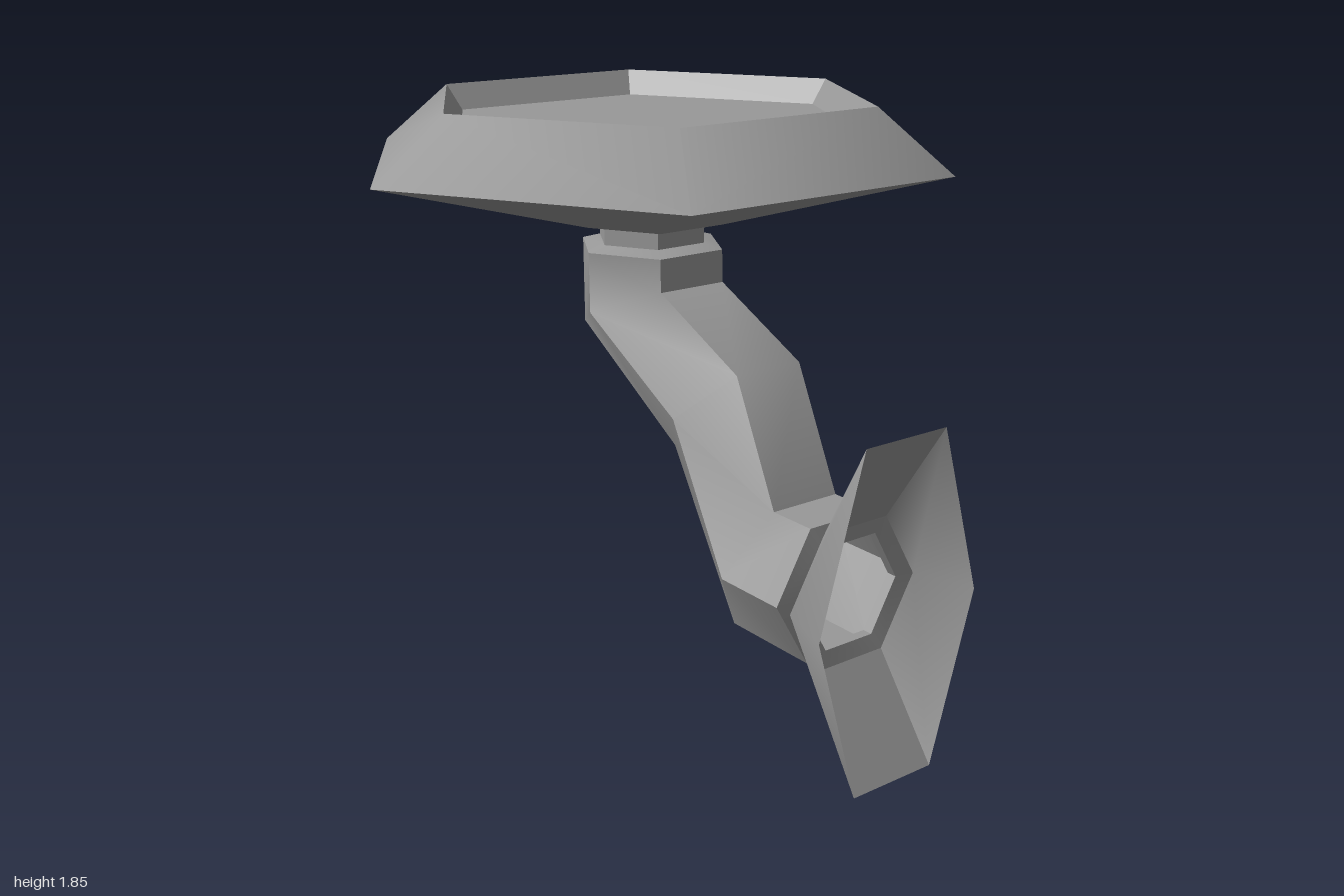
import * as THREE from 'three';
import { toCreasedNormals } from 'three/addons/utils/BufferGeometryUtils.js';

const solid = new THREE.MeshStandardMaterial({ color: 0x999999 });
const open = new THREE.MeshStandardMaterial({ color: 0x999999, side: THREE.DoubleSide });

// Hexagonal section: centre height y and depth z, half width w along x, and
// the vector (uy, uz) from the centre to the hexagon's upper/front side.
function hexLoop([y, z, w, uy, uz]) {
  return [[1, 0], [0.5, 1], [-0.5, 1], [-1, 0], [-0.5, -1], [0.5, -1]]
    .map(([a, b]) => [a * w, y + b * uy, z + b * uz]);
}

// Skin the chosen sides of a row of hexagonal sections, with the quads split
// in mirrored fashion; a section of zero width closes the end.
function loft(name, material, sections, sides = [0, 1, 2, 3, 4, 5], crease = 0.75) {
  const loops = sections.map(hexLoop);
  const pos = [];
  for (let i = 0; i + 1 < loops.length; i++) {
    for (const j of sides) {
      const k = (j + 1) % 6;
      const [a, b] = [loops[i][j], loops[i][k]];
      const [c, d] = [loops[i + 1][j], loops[i + 1][k]];
      if (sections[i + 1][2] === 0) pos.push(...a, ...c, ...b);
      else if (j % 3 === 2) pos.push(...a, ...c, ...d, ...a, ...d, ...b);
      else pos.push(...a, ...c, ...b, ...b, ...c, ...d);
    }
  }
  const geometry = new THREE.BufferGeometry();
  geometry.setAttribute('position', new THREE.Float32BufferAttribute(pos, 3));
  const mesh = new THREE.Mesh(toCreasedNormals(geometry, crease), material);
  mesh.name = name;
  return mesh;
}

// Upright section (facing z) and level section (facing y)
const upright = (z, w, h) => [0.526, z, w, h, 0];
const level = (y, w, d) => [y, -0.163, w, 0, d];

export function createModel() {
  const group = new THREE.Group();
  group.name = 'hexagonalBracketWithDish';

  // Open front flare: flat top and bottom panels, softly folded sides
  const flare = new THREE.Group();
  flare.name = 'frontFlare';
  const panels = { topPanel: [1], bottomPanel: [4], leftPanel: [5, 0], rightPanel: [2, 3] };
  for (const [name, sides] of Object.entries(panels)) {
    flare.add(loft(name, open, [upright(1, 0.3, 0.524), upright(0.812, 0.24, 0.21)], sides, 1.5));
  }
  group.add(flare);

  // Lip and short neck between flare and arm
  group.add(loft('frontNeck', open, [
    upright(0.812, 0.24, 0.21), upright(0.8, 0.18, 0.16), upright(0.768, 0.18, 0.16),
  ]));

  // Hollow bent arm with mitred bends
  group.add(loft('arm', open, [
    upright(0.768, 0.18, 0.16),
    upright(0.755, 0.24, 0.21),
    [0.526, 0.508, 0.24, 0.21, 0.088],
    [0.957, 0.27, 0.24, 0.148, 0.15],
    [1.193, -0.16, 0.24, 0.087, 0.21],
    level(1.383, 0.24, 0.21),
    level(1.4, 0.18, 0.157),
  ]));

  group.add(loft('topNeck', open, [level(1.4, 0.18, 0.157), level(1.45, 0.18, 0.157)]));

  // Wide dish: underside, bevelled rim and recessed floor
  group.add(loft('dish', solid, [
    level(1.45, 0.18, 0.157),
    level(1.462, 0.24, 0.21),
    level(1.66, 0.965, 0.837),
    level(1.85, 0.725, 0.63),
    level(1.77, 0.67, 0.582),
    level(1.77, 0, 0),
  ]));

  return group;
}
